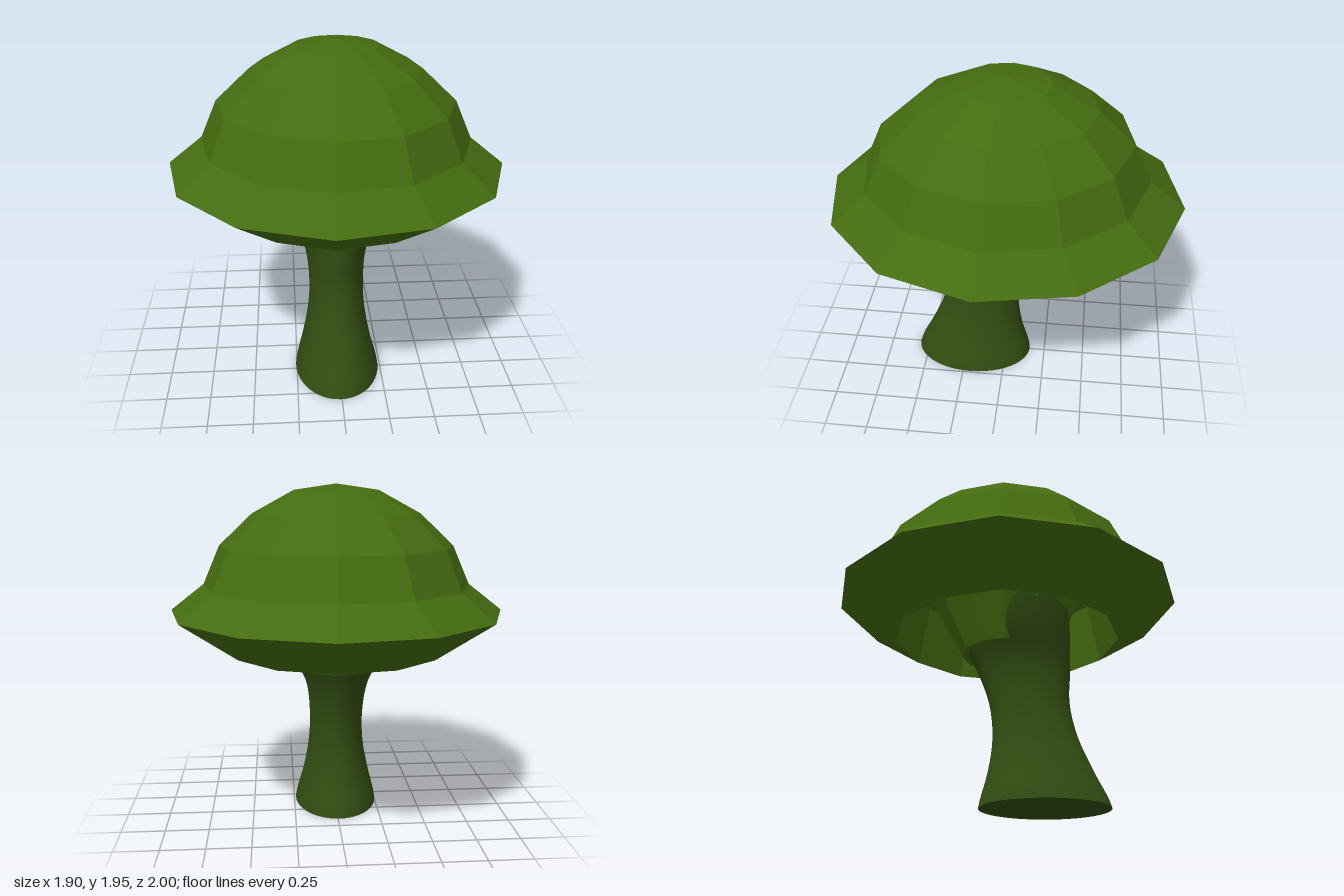
import * as THREE from 'three';
import { mergeVertices } from 'three/addons/utils/BufferGeometryUtils.js';

const capGreen = new THREE.MeshStandardMaterial({ color: 0x446c10 });
capGreen.name = 'capGreen';
const stemGreen = new THREE.MeshStandardMaterial({ color: 0x324e12 });
stemGreen.name = 'stemGreen';

function addMesh(group, name, geometry, material) {
  const mesh = new THREE.Mesh(geometry, material);
  mesh.name = name;
  group.add(mesh);
  return mesh;
}

// Faceted twelve-sided cap: collar, hollow underside, flared rim and dome
function capGeometry() {
  const profile = [
    [0, 0.9], [0.26, 0.9], [0.31, 1.0], [0.435, 1.25], [0.5, 1.4], [0.58, 1.36],
    [0.65, 1.0], [1, 1.23], [0.8, 1.38], [0.7, 1.6], [0.5, 1.78], [0.25, 1.91], [0, 1.945],
  ].map(([r, y]) => new THREE.Vector2(r, y));
  const lathe = new THREE.LatheGeometry(profile, 12, THREE.MathUtils.degToRad(-3.8));
  lathe.scale(0.953, 1, 1);
  const geometry = lathe.toNonIndexed();
  geometry.computeVertexNormals();
  return geometry;
}

// Smooth leaning stem: oval sections every 0.2 up its height
const STEM_HEIGHT = 1.2;
const radii = new THREE.SplineCurve([
  [0.248, 0.36], [0.2, 0.29], [0.165, 0.237], [0.16, 0.228], [0.19, 0.268], [0.295, 0.32], [0.36, 0.34],
].map(([x, z]) => new THREE.Vector2(x, z)));
const centres = new THREE.SplineCurve([
  [-0.008, 0.205], [-0.01, 0.185], [-0.008, 0.157], [-0.008, 0.127], [-0.01, 0.097], [-0.005, 0.05], [0, 0.03],
].map(([x, z]) => new THREE.Vector2(x, z)));

function stemGeometry() {
  const tube = new THREE.CylinderGeometry(1, 1, 1, 48, 24, true);
  tube.translate(0, 0.5, 0);
  const p = tube.attributes.position;
  for (let i = 0; i < p.count; i++) {
    const t = THREE.MathUtils.clamp(p.getY(i), 0, 1);
    const r = radii.getPoint(t);
    const c = centres.getPoint(t);
    p.setXYZ(i, c.x + p.getX(i) * r.x, t * STEM_HEIGHT, c.y + p.getZ(i) * r.y);
  }
  // Weld the seam so shading runs smoothly all round
  tube.deleteAttribute('uv');
  tube.deleteAttribute('normal');
  const geometry = mergeVertices(tube, 1e-4);
  geometry.computeVertexNormals();
  return geometry;
}

// Flat oval sole under the stem
function baseGeometry() {
  const r = radii.getPoint(0);
  const c = centres.getPoint(0);
  return new THREE.CircleGeometry(1, 48).rotateX(Math.PI / 2).scale(r.x, 1, r.y).translate(c.x, 0, c.y);
}

export function createModel() {
  const mushroom = new THREE.Group();
  mushroom.name = 'mushroom';
  addMesh(mushroom, 'cap', capGeometry(), capGreen);
  addMesh(mushroom, 'stem', stemGeometry(), stemGreen);
  addMesh(mushroom, 'stemBase', baseGeometry(), stemGreen);
  return mushroom;
}
